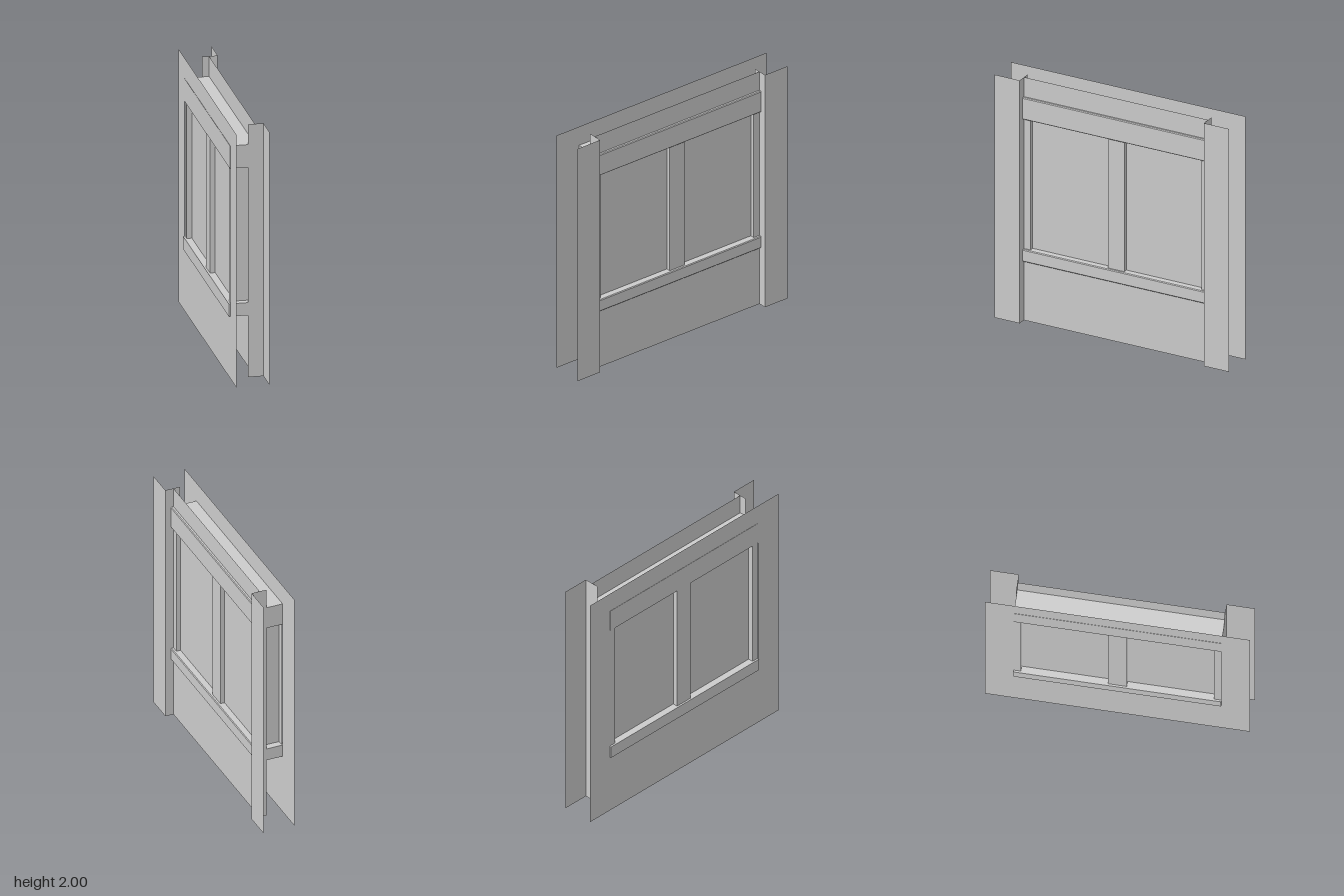
import * as THREE from 'three';

const H = 2, HALF = 1, INNER = 0.785;
const SILL_Y = [0.49, 0.59], HEAD_Y = [1.66, 1.84];
const BACK = -0.124, FRONT = 0.064; // wall skins
const POST_BACK = -0.12, POST_Z = 0.73, MID = 0.07;

export function createModel() {
  const model = new THREE.Group();
  model.name = 'windowWall';
  const mat = new THREE.MeshStandardMaterial({
    color: 0xcccccc, flatShading: true, side: THREE.DoubleSide,
  });

  const add = (geometry, name) => {
    const mesh = new THREE.Mesh(geometry, mat);
    mesh.name = name;
    model.add(mesh);
    return mesh;
  };

  const rectangle = (w, y0, y1, Type) => new Type([
    [-w, y0], [w, y0], [w, y1], [-w, y1],
  ].map(([u, v]) => new THREE.Vector2(u, v)));

  // Wall skin facing along x, with the window opening cut out
  const skin = (name, x, w) => {
    const shape = rectangle(w, 0, H, THREE.Shape);
    shape.holes.push(rectangle(INNER - 0.001, SILL_Y[1], HEAD_Y[0], THREE.Path));
    add(new THREE.ShapeGeometry(shape).rotateY(Math.PI / 2), name).position.x = x;
  };
  skin('backSkin', BACK, HALF);
  skin('frontSkin', FRONT, INNER);

  // Horizontal rail along z through the wall, its front edges slightly eased
  const rail = (name, x0, x1, [y0, y1]) => {
    const c = 0.006;
    const shape = new THREE.Shape([
      [x0, y0], [x1 - c, y0], [x1, y0 + c], [x1, y1 - c], [x1 - c, y1], [x0, y1],
    ].map(([u, v]) => new THREE.Vector2(u, v)));
    const g = new THREE.ExtrudeGeometry(shape, { depth: 2 * INNER, bevelEnabled: false });
    add(g.translate(0, 0, -INNER), name);
  };
  rail('windowHead', -0.126, 0.085, HEAD_Y);
  rail('windowSill', -0.135, 0.085, SILL_Y);

  // Upright strip following a path of [x, z] points, open at both ends
  const upright = (name, points, y0, y1) => {
    const pos = [], index = [];
    points.forEach(([x, z], i) => {
      pos.push(x, y0, z, x, y1, z);
      if (i) {
        const a = 2 * (i - 1);
        index.push(a, a + 2, a + 1, a + 1, a + 2, a + 3);
      }
    });
    const g = new THREE.BufferGeometry();
    g.setAttribute('position', new THREE.Float32BufferAttribute(pos, 3));
    g.setIndex(index);
    g.computeVertexNormals();
    add(g, name);
  };

  // Window posts, set flush with the wall
  upright('middlePost', [
    [POST_BACK, -MID], [FRONT, -MID], [FRONT, MID], [POST_BACK, MID], [POST_BACK, -MID],
  ], SILL_Y[1], HEAD_Y[0]);

  for (const s of [1, -1]) {
    const side = s > 0 ? 'left' : 'right';
    // Side post, open on its outer side
    upright(side + 'SidePost', [
      [POST_BACK, s * INNER], [POST_BACK, s * POST_Z],
      [FRONT, s * POST_Z], [FRONT, s * INNER],
    ], SILL_Y[1], HEAD_Y[0]);

    // Recessed inner and outer panes between the posts
    for (const x of [-0.08, 0.03]) {
      upright(side + (x > 0 ? 'FrontPane' : 'BackPane'),
        [[x, s * MID], [x, s * POST_Z]], SILL_Y[1], HEAD_Y[0]);
    }

    // Corner strip with its return into the wall
    upright(side + 'CornerStrip',
      [[0.13, s * HALF], [0.13, s * INNER], [0.01, s * INNER]], 0, H);
  }

  return model;
}
